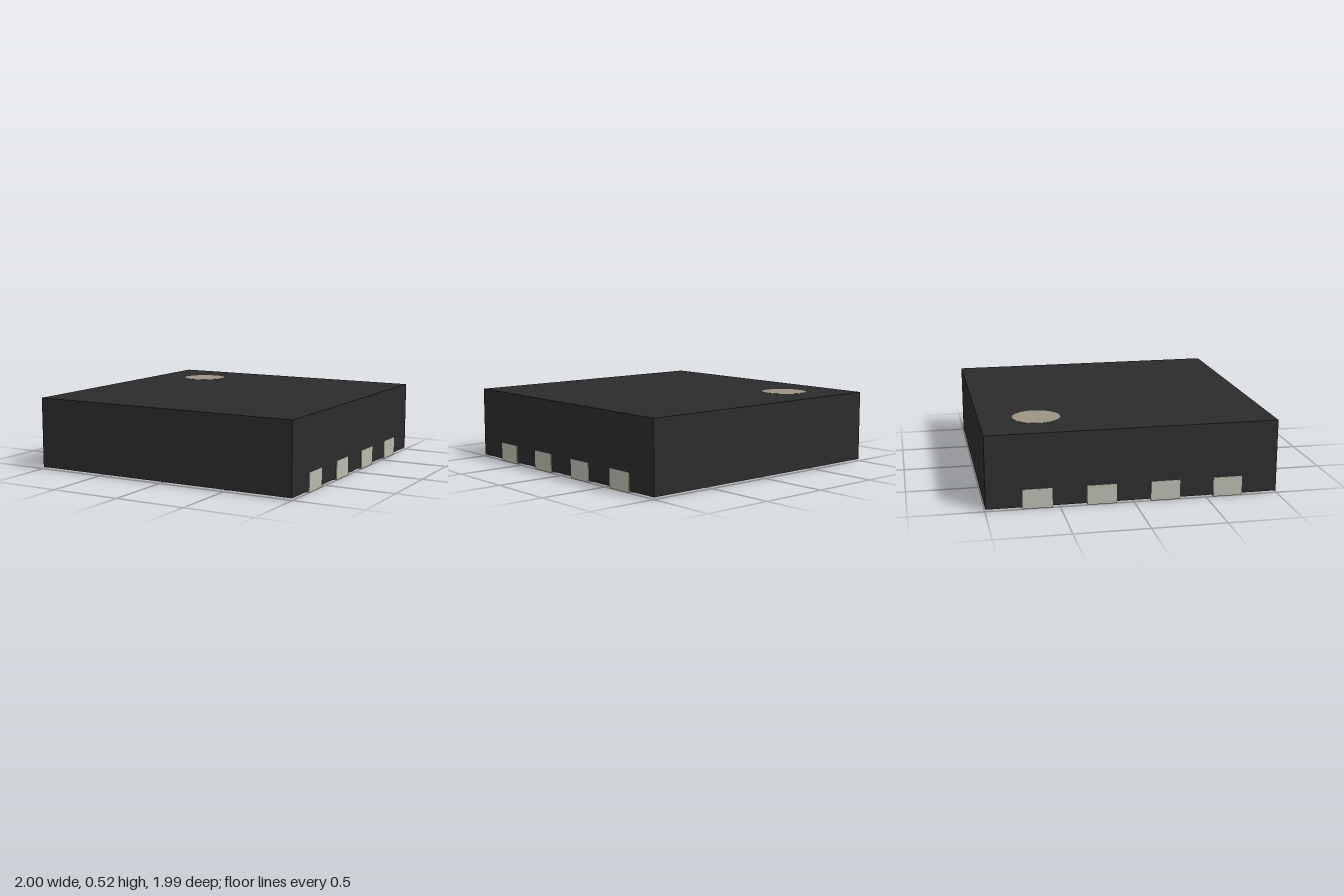
import * as THREE from 'three';

const mat = (color) => new THREE.MeshStandardMaterial({ color });

// Flat plate: a shape drawn in (x, z), extruded upward from y = 0
function plate(shape, height, material, name) {
  const geo = new THREE.ExtrudeGeometry(shape, { depth: height, bevelEnabled: false, curveSegments: 20 });
  geo.rotateX(Math.PI / 2).translate(0, height, 0);
  const mesh = new THREE.Mesh(geo, material);
  mesh.name = name;
  return mesh;
}

export function createModel() {
  const model = new THREE.Group();
  model.name = 'chipPackage';
  const plastic = mat(0x2b2b2b);
  const metal = mat(0xb8b8ae);
  const ink = mat(0x9c9585);

  const half = 0.996, bottom = 0.013, top = 0.515;

  // Moulded body
  const body = new THREE.Mesh(new THREE.BoxGeometry(half * 2, top - bottom, half * 2), plastic);
  body.name = 'body';
  body.position.y = (top + bottom) / 2;
  model.add(body);

  // Pin-one marker, barely proud of the top
  const marker = new THREE.Mesh(new THREE.CylinderGeometry(0.166, 0.166, 0.01, 48), ink);
  marker.name = 'pinOneMarker';
  marker.position.set(-0.6, top - 0.003, -0.6);
  model.add(marker);

  // Thermal pad with one chamfered corner beside pin one
  const px = 0.5, pz = 0.77, cut = 0.15;
  const padShape = new THREE.Shape([
    [-px + cut, -pz], [px, -pz], [px, pz], [-px, pz], [-px, -pz + cut],
  ].map(([x, z]) => new THREE.Vector2(x, z)));
  model.add(plate(padShape, 0.03, metal, 'thermalPad'));

  // Leads: round-ended foot below, upright terminal on the side wall
  const r = 0.1, inner = 0.73, outer = 1, leadHeight = 0.135;
  const footShape = new THREE.Shape();
  footShape.moveTo(outer, -r);
  footShape.lineTo(outer, r);
  footShape.lineTo(inner + r, r);
  footShape.absarc(inner + r, 0, r, Math.PI / 2, Math.PI * 1.5, false);
  footShape.closePath();

  for (const side of [1, -1]) {
    for (let i = 0; i < 4; i++) {
      const lead = new THREE.Group();
      lead.name = (side > 0 ? 'leftLead' : 'rightLead') + (i + 1);
      lead.add(plate(footShape, 0.03, metal, 'foot'));
      const wall = new THREE.Mesh(new THREE.BoxGeometry(0.05, leadHeight - 0.03, r * 2), metal);
      wall.name = 'terminal';
      wall.position.set(outer - 0.025, (leadHeight + 0.03) / 2, 0);
      lead.add(wall);
      lead.rotation.y = side > 0 ? 0 : Math.PI;
      lead.position.z = (i - 1.5) * 0.434;
      model.add(lead);
    }
  }
  return model;
}
